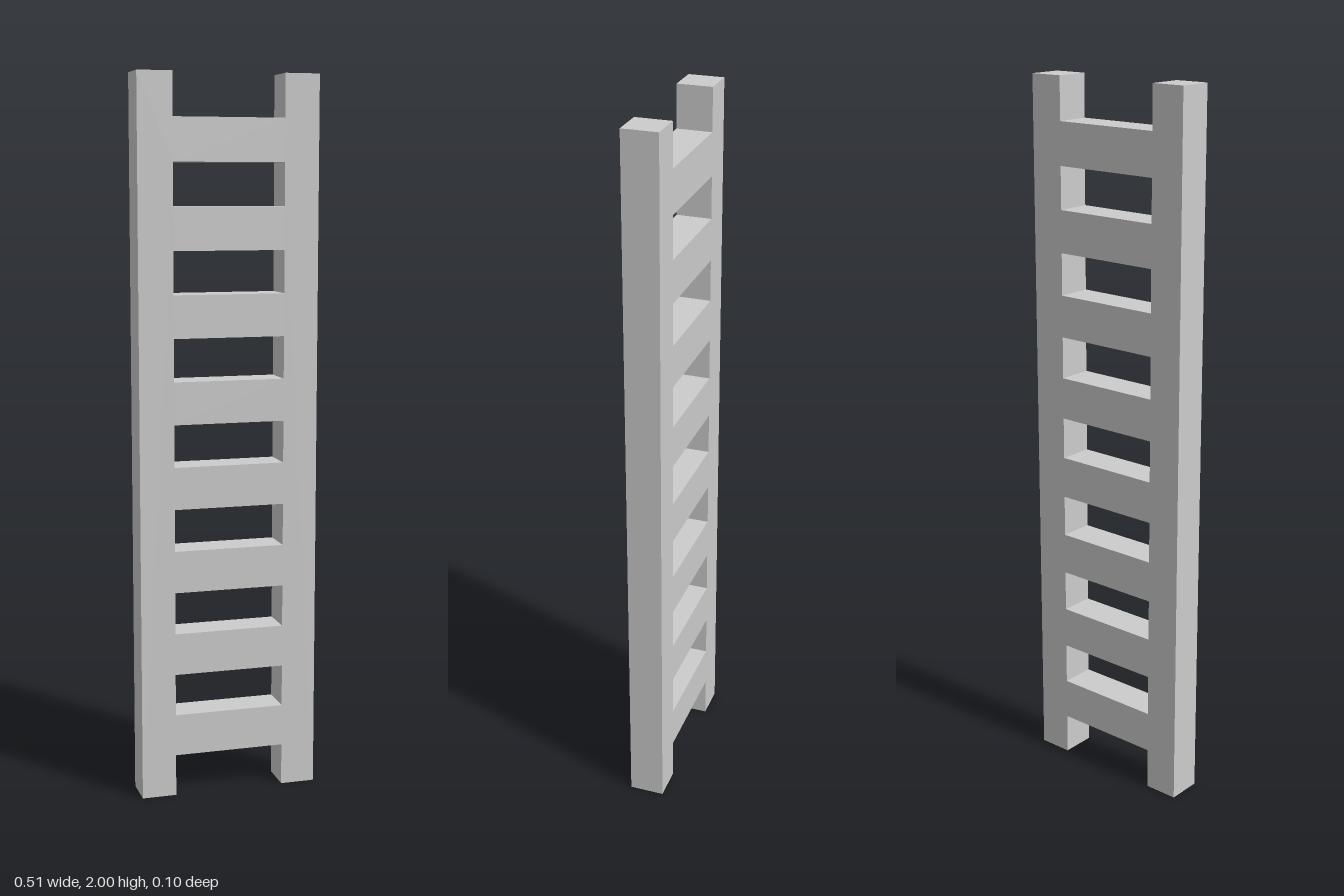
import * as THREE from 'three';

const HEIGHT = 2, RUNGS = 8;
const STEP = HEIGHT / (2 * RUNGS + 1); // rung height, equal to the gap height
const OUTER = 0.253, INNER = 0.156, DEPTH = 0.098;

export function createModel() {
  const group = new THREE.Group();
  group.name = 'ladder';

  // Silhouette: two rails, open between them at the top and bottom
  const low = STEP, high = HEIGHT - STEP;
  const outline = new THREE.Shape([
    [-OUTER, 0], [-INNER, 0], [-INNER, low], [INNER, low], [INNER, 0], [OUTER, 0],
    [OUTER, HEIGHT], [INNER, HEIGHT], [INNER, high], [-INNER, high], [-INNER, HEIGHT], [-OUTER, HEIGHT],
  ].map(([x, y]) => new THREE.Vector2(x, y)));

  // Gaps between neighbouring rungs
  for (let i = 1; i < RUNGS; i++) {
    const y = 2 * i * STEP;
    outline.holes.push(new THREE.Path([
      new THREE.Vector2(-INNER, y), new THREE.Vector2(-INNER, y + STEP),
      new THREE.Vector2(INNER, y + STEP), new THREE.Vector2(INNER, y),
    ]));
  }

  // Rails and flush rungs in one solid piece
  const geometry = new THREE.ExtrudeGeometry(outline, { depth: DEPTH, bevelEnabled: false });
  geometry.translate(0, 0, -DEPTH / 2);
  const frame = new THREE.Mesh(
    geometry,
    new THREE.MeshStandardMaterial({ color: 0xcccccc, flatShading: true }),
  );
  frame.name = 'railsAndRungs';
  group.add(frame);
  return group;
}
